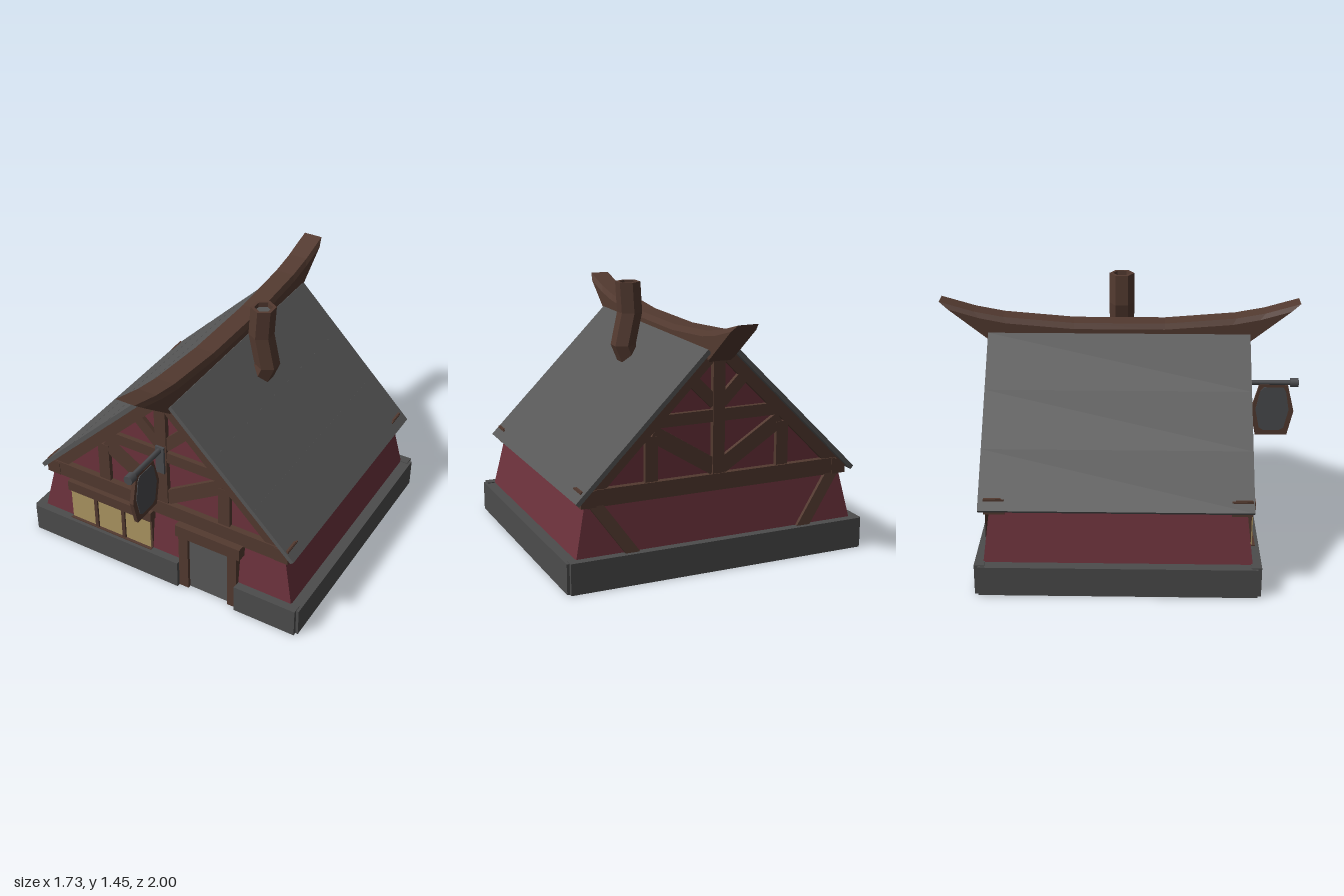
import * as THREE from 'three';

const mat = (name, color, side = THREE.FrontSide) => {
  const m = new THREE.MeshStandardMaterial({ color, side });
  m.name = name;
  return m;
};

// Skin closed rings of [x, y, z] points with flat facets, optionally capping the ends
function loft(rings, capStart = true, capEnd = true) {
  const p = [];
  const tri = (a, b, c) => p.push(...a, ...b, ...c);
  const n = rings[0].length;
  for (let i = 0; i < rings.length - 1; i++) {
    for (let j = 0; j < n; j++) {
      const k = (j + 1) % n, r = rings[i], s = rings[i + 1];
      tri(r[j], r[k], s[k]);
      tri(r[j], s[k], s[j]);
    }
  }
  const first = rings[0], last = rings[rings.length - 1];
  for (let j = 1; j < n - 1; j++) {
    if (capStart) tri(first[0], first[j + 1], first[j]);
    if (capEnd) tri(last[0], last[j], last[j + 1]);
  }
  const g = new THREE.BufferGeometry();
  g.setAttribute('position', new THREE.Float32BufferAttribute(p, 3));
  g.computeVertexNormals();
  return g;
}

export function createModel() {
  const model = new THREE.Group();
  model.name = 'timberHouse';
  const stone = mat('stone', 0x4c4c4c);
  const slate = mat('slate', 0x575757);
  const timber = mat('timber', 0x533a30);
  const plaster = mat('redPlaster', 0x6c323c, THREE.DoubleSide);
  const glass = mat('windowGlass', 0xac9562);
  const iron = mat('iron', 0x4a4b4e);

  const add = (name, geo, m) => {
    const mesh = new THREE.Mesh(geo, m);
    mesh.name = name;
    model.add(mesh);
    return mesh;
  };
  // Box given by its limits
  const box = (name, m, x0, x1, y0, y1, z0, z1) => {
    const b = add(name, new THREE.BoxGeometry(x1 - x0, y1 - y0, z1 - z0), m);
    b.position.set((x0 + x1) / 2, (y0 + y1) / 2, (z0 + z1) / 2);
    return b;
  };
  // Straight bar between two points of the x-y plane
  const bar = (name, m, x0, y0, x1, y1, width, z, depth) => {
    const b = add(name, new THREE.BoxGeometry(Math.hypot(x1 - x0, y1 - y0), width, depth), m);
    b.position.set((x0 + x1) / 2, (y0 + y1) / 2, z);
    b.rotation.z = Math.atan2(y1 - y0, x1 - x0);
    return b;
  };

  // Stone footing, open for the door
  box('footingFrontRight', stone, -0.85, 0.12, 0, 0.17, 0.7, 0.755);
  box('footingFrontLeft', stone, 0.48, 0.85, 0, 0.17, 0.7, 0.755);
  box('footingBack', stone, -0.85, 0.85, 0, 0.17, -0.755, -0.7);
  for (const s of [-1, 1]) {
    box('footingSide', stone, s * 0.8325 - 0.0325, s * 0.8325 + 0.0325, 0, 0.165, -0.735, 0.735);
  }

  // Leaning plaster walls, hollow
  const rect = (x, y, z) => [[x, y, z], [x, y, -z], [-x, y, -z], [-x, y, z]];
  add('walls', loft([rect(0.81, 0.14, 0.712), rect(0.742, 0.45, 0.675)], false, false), plaster);

  // Gables with timber framing at both ends
  for (const s of [-1, 1]) {
    const tri = new THREE.Shape([[-0.74, 0.45], [0.74, 0.45], [0, 1.19]].map(p => new THREE.Vector2(...p)));
    const gable = add('gable', new THREE.ExtrudeGeometry(tri, { depth: 0.02, bevelEnabled: false }), plaster);
    gable.position.z = s * 0.655 - 0.01;
    const z = s * 0.655;
    box('tieBeam', timber, -0.77, 0.77, 0.43, 0.52, z - 0.045, z + 0.045);
    box('collarBeam', timber, -0.37, 0.37, 0.8, 0.865, z - 0.036, z + 0.036);
    box('kingPost', timber, -0.034, 0.034, 0.51, 1.16, z - 0.04, z + 0.04);
    for (const m of [-1, 1]) {
      bar('rafter', timber, m * 0.755, 0.445, m * 0.02, 1.18, 0.07, z, 0.076);
      bar('lowerBrace', timber, m * 0.02, 0.553, m * 0.37, 0.773, 0.085, z, 0.066);
      bar('upperBrace', timber, m * 0.02, 0.9, m * 0.16, 1.04, 0.065, z, 0.066);
      box('stud', timber, m * 0.38 - 0.035, m * 0.38 + 0.035, 0.51, 0.76, z - 0.035, z + 0.035);
      box('eaveBlock', timber, m * 0.73 - 0.042, m * 0.73 + 0.042, 0.43, 0.515, s * 0.648 - 0.055, s * 0.648 + 0.055);
    }
  }
  for (const m of [-1, 1]) {
    box('wallPlate', timber, m * 0.72 - 0.035, m * 0.72 + 0.035, 0.435, 0.51, -0.65, 0.65);
    // Corner braces on the back wall
    const brace = bar('backBrace', timber, m * 0.7, 0.45, m * 0.49, 0.15, 0.065, -0.69, 0.05);
    brace.rotation.order = 'XYZ';
    brace.rotation.x = 0.11;
  }

  // Roof: three planks a side
  const d = Math.SQRT1_2;
  for (const m of [-1, 1]) {
    for (let i = 0; i < 3; i++) {
      const x0 = 0.085 + i * 0.2417, x1 = x0 + 0.2417;
      const off = 0.0135 + (2 - i) * 0.0008;
      bar('roofPlank', slate, m * (x0 - off * d), 1.28 - x0 - off * d,
        m * (x1 - off * d), 1.28 - x1 - off * d, 0.025, -0.01, 1.44);
    }
  }

  // Upswept ridge beam with slanted, pointed ends: [top z, top y, bottom z, bottom y]
  const half = [[0.25, 1.243, 0.25, 1.04], [0.64, 1.275, 0.52, 1.06], [0.8, 1.305, 0.6, 1.08], [0.99, 1.36, 0.66, 1.1]];
  const outline = [[0.055, 0], [0.07, 0.15], [0.07, 0.85], [0.055, 1], [-0.055, 1], [-0.07, 0.85], [-0.07, 0.15], [-0.055, 0]];
  const stations = [...half.map(([a, b, c, e]) => [-a, b, -c, e]).reverse(), ...half];
  add('ridgeBeam', loft(stations.map(([zt, yt, zb, yb]) =>
    outline.map(([x, t]) => [x, yb + (yt - yb) * t, zb + (zt - zb) * t - 0.008]))), timber);

  // Crooked six-sided chimney with a recessed flue
  const hex = (cx, y, r) => Array.from({ length: 6 }, (_, i) => {
    const a = i * Math.PI / 3;
    return [cx + Math.sin(a) * r, y, Math.cos(a) * r];
  });
  add('chimney', loft([hex(0.19, 0.96, 0.07), hex(0.248, 1.1, 0.07), hex(0.208, 1.28, 0.07),
    hex(0.218, 1.45, 0.07), hex(0.218, 1.45, 0.05), hex(0.216, 1.42, 0.05)], true, false), timber);
  add('flue', loft([hex(0.216, 1.41, 0.05), hex(0.216, 1.422, 0.05)]), slate);

  // Door
  box('door', slate, 0.17, 0.44, 0, 0.37, 0.66, 0.715);
  box('doorPost', timber, 0.12, 0.178, 0, 0.37, 0.65, 0.735);
  box('doorPost', timber, 0.428, 0.482, 0, 0.37, 0.65, 0.735);
  box('doorLintel', timber, 0.105, 0.505, 0.36, 0.435, 0.65, 0.742);

  // Window with three panes
  box('windowBox', timber, -0.61, -0.065, 0.165, 0.38, 0.63, 0.712);
  box('windowHeader', timber, -0.617, -0.06, 0.37, 0.432, 0.64, 0.73);
  box('windowSill', timber, -0.61, -0.065, 0.16, 0.175, 0.66, 0.735);
  for (let i = 0; i < 3; i++) {
    const x = -0.605 + i * 0.184;
    box('windowPane', glass, x, x + 0.163, 0.175, 0.37, 0.711, 0.719);
    if (i < 2) box('mullion', timber, x + 0.163, x + 0.184, 0.17, 0.37, 0.7, 0.73);
  }

  // Hanging sign on an iron arm
  box('signMount', iron, -0.026, 0.026, 0.73, 0.9, 0.69, 0.708);
  const arm = add('signArm', new THREE.CylinderGeometry(0.015, 0.015, 0.28, 6), iron);
  arm.rotation.x = Math.PI / 2;
  arm.position.set(0, 0.88, 0.835);
  const knob = add('signKnob', new THREE.CylinderGeometry(0.027, 0.027, 0.045, 8), iron);
  knob.rotation.x = Math.PI / 2;
  knob.position.set(0, 0.88, 0.975);
  const board = (name, m, pts, depth) => {
    const s = new THREE.Shape(pts.map(([z, y]) => new THREE.Vector2(-z, y)));
    const g = add(name, new THREE.ExtrudeGeometry(s, { depth, bevelEnabled: false }), m);
    g.rotation.y = Math.PI / 2;
    g.position.x = -depth / 2;
  };
  board('signFrame', timber, [[0.94, 0.868], [0.78, 0.868], [0.735, 0.71], [0.765, 0.565], [0.945, 0.565], [0.978, 0.71]], 0.022);
  board('signPanel', iron, [[0.915, 0.855], [0.805, 0.855], [0.785, 0.83], [0.762, 0.72], [0.785, 0.61],
    [0.81, 0.595], [0.9, 0.595], [0.925, 0.61], [0.95, 0.72], [0.93, 0.83]], 0.03);

  return model;
}
